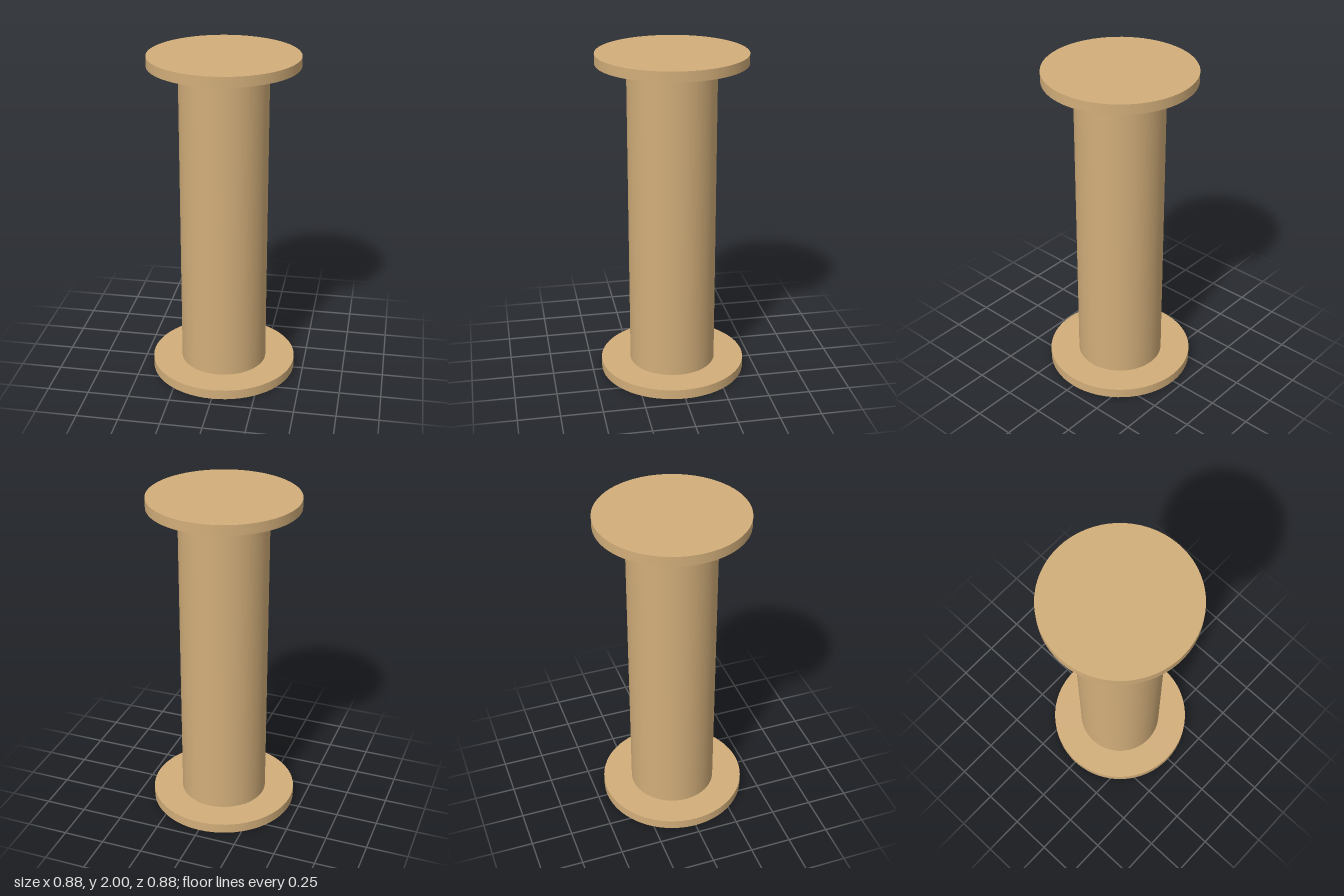
import * as THREE from 'three';

export function createModel() {
  const group = new THREE.Group();
  const material = new THREE.MeshStandardMaterial({ color: 0xd2ae7a });
  const height = 2, flangeHeight = 0.06, flangeRadius = 0.442, coreRadius = 0.262;

  const addDisc = (name, radius, h, y) => {
    const mesh = new THREE.Mesh(new THREE.CylinderGeometry(radius, radius, h, 64), material);
    mesh.name = name;
    mesh.position.y = y;
    group.add(mesh);
  };

  // Round core between two wide end flanges
  addDisc('core', coreRadius, height - 2 * flangeHeight, height / 2);
  addDisc('bottomFlange', flangeRadius, flangeHeight, flangeHeight / 2);
  addDisc('topFlange', flangeRadius, flangeHeight, height - flangeHeight / 2);

  return group;
}
